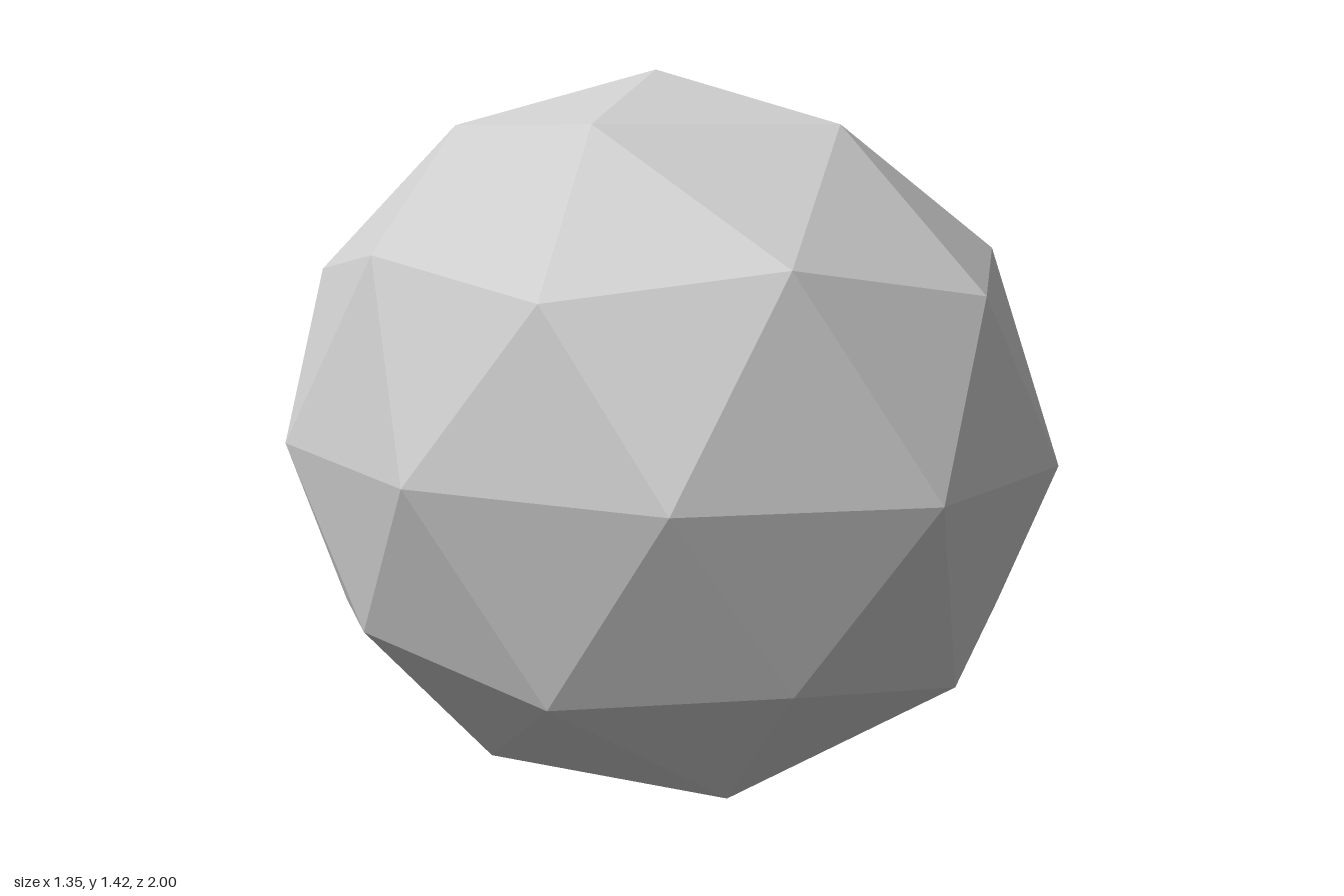
import * as THREE from 'three';

const CENTRE_Y = 0.71;

export function createModel() {
  const group = new THREE.Group();
  const grey = new THREE.MeshStandardMaterial({ color: 0xcccccc, flatShading: true });
  grey.name = 'plain grey';

  const add = (name, geometry, x, y, z) => {
    const mesh = new THREE.Mesh(geometry, grey);
    mesh.name = name;
    mesh.position.set(x, y, z);
    group.add(mesh);
  };

  // Faceted body: icosphere with a corner at the top, stretched along z
  const body = new THREE.IcosahedronGeometry(1, 1);
  body.rotateZ(-Math.atan(2 / (1 + Math.sqrt(5))));
  body.scale(0.71, 0.71, 0.85);
  add('body', body, 0, CENTRE_Y, 0.15);

  // Frustum pointing backwards between two z positions
  const rearFrustum = (name, rBack, rFront, zBack, zFront, sides, turn) => {
    const g = new THREE.CylinderGeometry(rBack, rFront, zFront - zBack, sides, 1, false, turn);
    g.rotateX(-Math.PI / 2);
    add(name, g, 0, CENTRE_Y + 0.003, (zBack + zFront) / 2);
  };
  rearFrustum('rearCollar', 0.425, 0.49, -0.615, -0.3, 10, 0);
  rearFrustum('rearSpike', 0.049, 0.191, -1, -0.55, 8, Math.PI / 8);

  // Eight-sided spool with a hollowed rim, sunk into the left rear flank
  const profile = [new THREE.Vector2(0, -0.0625)];
  const steps = 14;
  for (let i = 0; i <= steps; i++) {
    const t = (i / steps) * 2 - 1;
    profile.push(new THREE.Vector2(0.345 - 0.042 * Math.sqrt(1 - t * t), t * 0.0625));
  }
  profile.push(new THREE.Vector2(0, 0.0625));
  const spool = new THREE.LatheGeometry(profile, 8);
  spool.rotateZ(-Math.PI / 2);
  add('sideSpool', spool, 0.48, 0.7, -0.19);

  return group;
}
